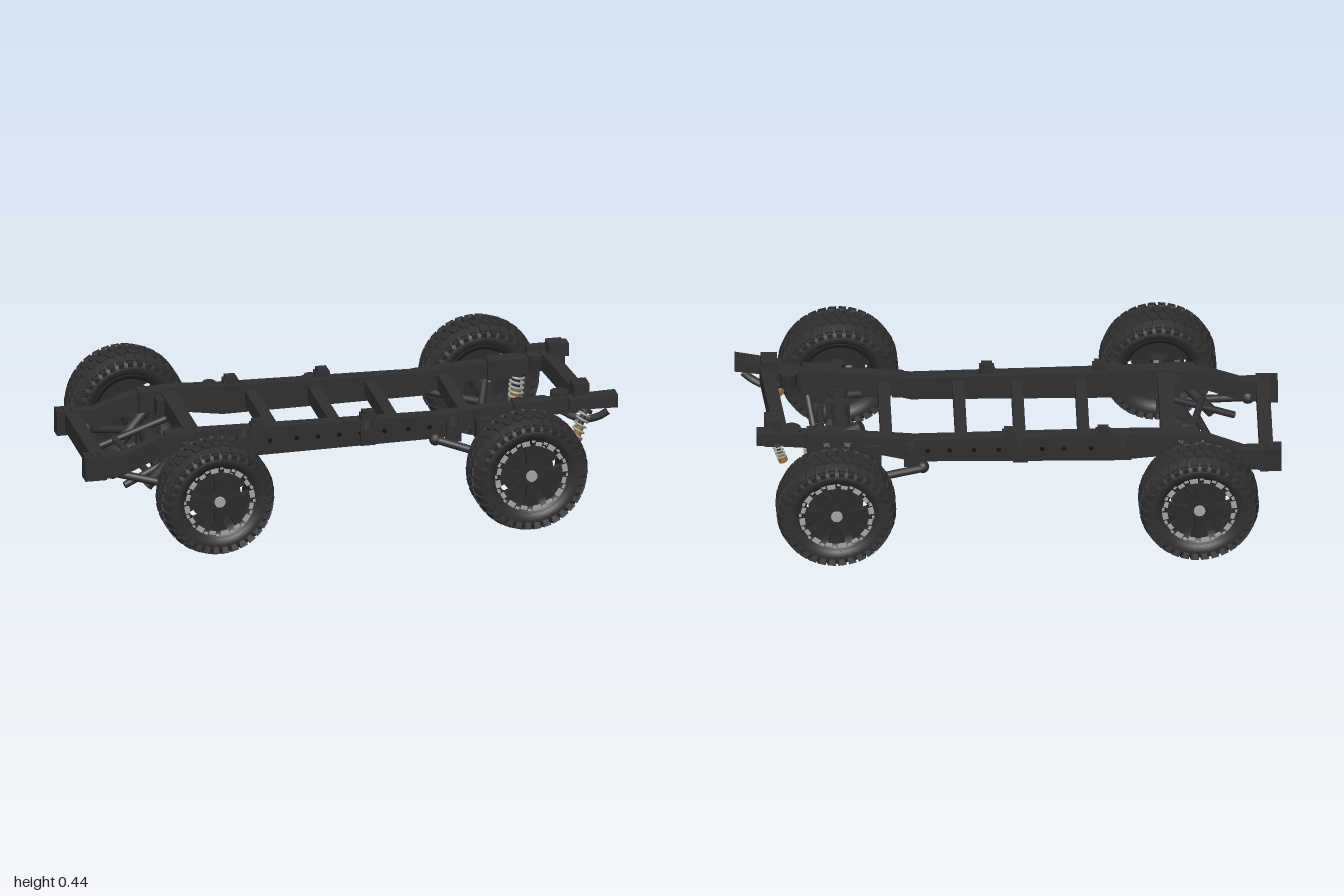
import * as THREE from 'three';
import { mergeGeometries } from 'three/addons/utils/BufferGeometryUtils.js';

const mat = (name, color, side = THREE.FrontSide) => {
  const m = new THREE.MeshStandardMaterial({ color, side });
  m.name = name;
  return m;
};

export function createModel() {
  const model = new THREE.Group();
  model.name = 'truckChassis';
  const rubber = mat('tyre rubber', 0x2f2f2f, THREE.DoubleSide);
  const steel = mat('frame steel', 0x2f2f2f);
  const rimDark = mat('rim black', 0x2c2c2c, THREE.DoubleSide);
  const silver = mat('silver', 0xa6a6a6, THREE.DoubleSide);
  const gold = mat('gold damper', 0x8f6c35);
  const hole = mat('hole black', 0x101010, THREE.DoubleSide);

  const V = (p) => new THREE.Vector3(...p);
  const outline = (pts) => pts.map((p) => new THREE.Vector2(...p));
  const add = (name, geo, material = steel, pos = [0, 0, 0], parent = model) => {
    const m = new THREE.Mesh(geo, material);
    m.name = name;
    m.position.set(...pos);
    parent.add(m);
    return m;
  };
  const box = (name, pos, size, material = steel) => add(name, new THREE.BoxGeometry(...size), material, pos);
  // round bar between two points
  const rod = (name, a, b, r, r2 = r, material = steel) => {
    const d = V(b).sub(V(a));
    const m = add(name, new THREE.CylinderGeometry(r2, r, d.length(), 14), material, V(a).add(V(b)).multiplyScalar(0.5).toArray());
    m.quaternion.setFromUnitVectors(new THREE.Vector3(0, 1, 0), d.normalize());
    return m;
  };
  // flat-sided bar between two points
  const bar = (name, a, b, w, h) => {
    const m = add(name, new THREE.BoxGeometry(w, h, V(a).distanceTo(V(b))), steel, V(a).add(V(b)).multiplyScalar(0.5).toArray());
    m.lookAt(V(b));
    return m;
  };
  // rectangular cross-sections [x, y, z, height, width] joined along x
  const loft = (name, sections) => {
    const pos = [];
    const ring = ([x, y, z, h, w]) => [[x, y - h / 2, z - w / 2], [x, y - h / 2, z + w / 2], [x, y + h / 2, z + w / 2], [x, y + h / 2, z - w / 2]];
    const quad = (a, b, c, d) => pos.push(...a, ...b, ...c, ...a, ...c, ...d);
    const rings = sections.map(ring);
    for (let i = 0; i + 1 < rings.length; i++)
      for (let k = 0; k < 4; k++) {
        const n = (k + 1) % 4;
        quad(rings[i][k], rings[i + 1][k], rings[i + 1][n], rings[i][n]);
      }
    quad(...rings[0]);
    quad(...rings[rings.length - 1].slice().reverse());
    const g = new THREE.BufferGeometry();
    g.setAttribute('position', new THREE.Float32BufferAttribute(pos, 3));
    g.computeVertexNormals();
    return add(name, g);
  };

  // side rails, dropping at the -x end and rising over the +x axle
  loft('frontRail', [[-0.925, 0.265, 0.21, 0.085, 0.048], [-0.86, 0.268, 0.21, 0.08, 0.045], [-0.72, 0.322, 0.205, 0.075, 0.045],
    [-0.58, 0.33, 0.198, 0.09, 0.05], [-0.38, 0.315, 0.195, 0.11, 0.05], [0.35, 0.313, 0.193, 0.09, 0.05],
    [0.5, 0.338, 0.198, 0.07, 0.045], [0.75, 0.355, 0.205, 0.06, 0.04], [0.88, 0.365, 0.225, 0.06, 0.04]]);
  loft('backRail', [[-0.925, 0.265, -0.262, 0.085, 0.048], [-0.86, 0.268, -0.262, 0.08, 0.045], [-0.72, 0.322, -0.255, 0.075, 0.045],
    [-0.58, 0.33, -0.25, 0.09, 0.05], [-0.38, 0.315, -0.238, 0.11, 0.05], [0.35, 0.313, -0.235, 0.09, 0.05],
    [0.5, 0.338, -0.235, 0.07, 0.045], [0.75, 0.355, -0.225, 0.06, 0.04], [0.88, 0.365, -0.225, 0.06, 0.04]]);

  // rail ends with two upright openings
  const endShape = new THREE.Shape(outline([[-1, -0.028], [-0.92, -0.028], [-0.92, 0.028], [-1, 0.028]]));
  for (const [x0, x1] of [[-0.989, -0.968], [-0.956, -0.938]])
    endShape.holes.push(new THREE.Path(outline([[x0, -0.016], [x0, 0.016], [x1, 0.016], [x1, -0.016]])));
  const endGeo = new THREE.ExtrudeGeometry(endShape, { depth: 0.094, bevelEnabled: false }).rotateX(-Math.PI / 2);
  for (const z of [0.21, -0.262]) add('railEnd', endGeo, steel, [0, 0.219, z]);

  // crossmembers
  for (const x of [-0.275, -0.04, 0.175, 0.45]) box('crossmember', [x, 0.315, -0.02], [0.043, 0.06, 0.42]);
  box('axleCrossmember', [-0.585, 0.33, -0.025], [0.055, 0.07, 0.44]);
  box('lowEndCrossmember', [-0.945, 0.272, -0.025], [0.05, 0.07, 0.42]);
  bar('highEndCrossmember', [0.84, 0.365, -0.24], [0.88, 0.365, 0.21], 0.05, 0.07);

  // rail holes
  for (const x of [-0.3, -0.2, -0.12, -0.04, 0.04, 0.13, 0.22, 0.3])
    for (const z of [0.2215, -0.264]) add('railHole', new THREE.CircleGeometry(0.009, 12), hole, [x, 0.315, z]);

  // cab and bed mounts on the outer faces of the rails
  for (const [x, z, y] of [[-0.42, -0.268, 0.335], [-0.4, 0.222, 0.335], [-0.04, -0.266, 0.33], [0.065, 0.22, 0.33], [0.36, -0.26, 0.315], [0.39, 0.22, 0.315]]) {
    box('bodyMount', [x, y - 0.015, z], [0.055, 0.09, 0.035]);
    add('mountBush', new THREE.CylinderGeometry(0.022, 0.026, 0.03, 16), steel, [x, y + 0.022, z]);
  }
  for (const [x, z] of [[-0.345, 0.205], [-0.345, -0.25], [0, -0.25], [0.07, 0.205]]) {
    box('mountTab', [x, 0.36, z], [0.055, 0.05, 0.04]);
    box('mountTabTop', [x, 0.39, z], [0.04, 0.014, 0.035]);
  }

  // bumper brackets at the +x end
  loft('bumperArm', [[0.82, 0.37, 0.235, 0.045, 0.06], [0.92, 0.38, 0.25, 0.045, 0.06], [0.995, 0.385, 0.262, 0.05, 0.06]]);
  box('bumperArmBack', [0.85, 0.385, -0.27], [0.15, 0.045, 0.035]);
  for (const z of [0.203, -0.21]) box('bumperBracket', [0.87, 0.385, z], [0.06, 0.11, 0.068]);
  box('bumperPad', [0.9, 0.39, -0.265], [0.06, 0.05, 0.05]);
  for (const z of [0.17, -0.215]) add('bumpStop', new THREE.CylinderGeometry(0.035, 0.03, 0.06, 16), steel, [0.8, 0.365, z]);
  const hook = new THREE.CatmullRomCurve3([[0.8, 0.33, 0.2], [0.87, 0.3, 0.225], [0.93, 0.315, 0.25], [0.965, 0.34, 0.262]].map(V));
  add('towHook', new THREE.TubeGeometry(hook, 16, 0.014, 8));

  // silver coil spring over a damper with a gold lower body
  const coilover = (a, b, r = 0.022) => {
    const len = V(a).distanceTo(V(b));
    rod('damper', a, b, r * 0.5);
    rod('damperBody', a, V(a).lerp(V(b), 0.5).toArray(), r * 0.75, r * 0.75, gold);
    const pts = [];
    for (let i = 0; i <= 60; i++) {
      const t = i / 60, s = t * Math.PI * 10;
      pts.push(new THREE.Vector3(Math.cos(s) * r, (t - 0.4) * len * 0.8, Math.sin(s) * r));
    }
    const g = new THREE.Group();
    g.name = 'coilover';
    g.position.copy(V(a).add(V(b)).multiplyScalar(0.5));
    g.quaternion.setFromUnitVectors(new THREE.Vector3(0, 1, 0), V(b).sub(V(a)).normalize());
    model.add(g);
    add('spring', new THREE.TubeGeometry(new THREE.CatmullRomCurve3(pts), 120, r * 0.2, 6), silver, [0, 0, 0], g);
    add('springSeat', new THREE.CylinderGeometry(r * 1.2, r * 1.2, 0.012, 16), steel, [0, len * 0.47, 0], g);
    add('springCollar', new THREE.CylinderGeometry(r * 1.1, r * 1.1, 0.014, 16), gold, [0, -len * 0.37, 0], g);
  };
  coilover([0.72, 0.21, -0.21], [0.73, 0.33, -0.21], 0.025);
  coilover([0.83, 0.23, 0.28], [0.88, 0.35, 0.258]);
  coilover([0.83, 0.3, -0.3], [0.86, 0.375, -0.285], 0.016);

  // solid axles with differential, knuckles and arms
  const axle = (xb, xf, dx) => {
    const at = (z) => xb + (xf - xb) * (z + 0.42) / 0.84;
    for (const s of [-1, 1]) {
      rod('axleTube', [dx, 0.21, s * 0.04], [at(s * 0.3), 0.21, s * 0.3], 0.034, 0.028);
      rod('axleStub', [at(s * 0.28), 0.21, s * 0.28], [at(s * 0.42), 0.218, s * 0.42], 0.035, 0.04);
      rod('axleSeal', [at(s * 0.35), 0.215, s * 0.35], [at(s * 0.362), 0.215, s * 0.362], 0.043, 0.043);
      box('knuckle', [at(s * 0.37), 0.21, s * 0.37], [0.07, 0.07, 0.03]);
      box('springPerch', [at(s * 0.22), 0.2, s * 0.22], [0.09, 0.07, 0.035]);
      box('axleClip', [at(s * 0.35), 0.256, s * 0.35], [0.035, 0.009, 0.045], silver);
      for (const o of [-0.04, 0.04])
        bar('upperArm', [at(s * 0.4) + o * 0.6, 0.26, s * 0.4], [at(s * 0.25) + o, 0.345, s * 0.26], 0.022, 0.03);
    }
    const diff = add('differential', new THREE.SphereGeometry(0.056, 20, 14), steel, [dx, 0.2, 0.02]);
    diff.scale.set(0.8, 1, 1.05);
    rod('pinionHousing', [dx, 0.22, 0], [dx - Math.sign(dx) * 0.07, 0.265, -0.01], 0.034, 0.024);
  };
  axle(0.64, 0.61, 0.605);
  axle(-0.69, -0.57, -0.665);

  // links and rods around the +x axle
  rod('tieRod', [0.69, 0.17, -0.33], [0.68, 0.15, 0.31], 0.013);
  rod('trackBar', [0.56, 0.19, -0.1], [0.62, 0.18, 0.3], 0.014);
  rod('trackBarUpper', [0.56, 0.19, -0.1], [0.62, 0.31, -0.26], 0.014);
  rod('steeringArm', [0.74, 0.32, 0.25], [0.7, 0.15, 0.08], 0.014);
  add('steeringBox', new THREE.BoxGeometry(0.1, 0.1, 0.06), steel, [0.7, 0.3, 0.22]).rotation.z = 0.4;
  rod('trailingArm', [0.32, 0.27, -0.31], [0.62, 0.19, -0.29], 0.015);
  rod('trailingArm', [0.32, 0.27, 0.235], [0.6, 0.19, 0.33], 0.015);
  for (const [x, y, z] of [[0.32, 0.27, -0.3], [0.32, 0.27, 0.23], [0.56, 0.19, -0.1]]) add('linkBush', new THREE.SphereGeometry(0.024, 12, 8), steel, [x, y, z]);
  for (const z of [-0.225, 0.21]) {
    box('springTower', [0.68, 0.35, z], [0.13, 0.075, 0.065]);
    box('armBracket', [0.5, 0.3, z * 1.1], [0.06, 0.08, 0.05]);
  }

  // links and plates around the -x axle
  for (const s of [-1, 1]) {
    const z = s > 0 ? 0.2 : -0.245;
    rod('lowerLink', [-0.9, 0.235, z], [-0.66, 0.185, z + s * 0.065], 0.015);
    rod('innerLink', [-0.58, 0.28, z - s * 0.06], [-0.84, 0.17, z - s * 0.02], 0.013);
    rod('shock', [-0.76, 0.17, z], [-0.62, 0.33, z + s * 0.02], 0.022, 0.018);
    box('springTower', [-0.64, 0.33, z], [0.11, 0.08, 0.065]);
    add('linkBush', new THREE.SphereGeometry(0.026, 12, 8), steel, [-0.89, 0.235, z]);
    box('gusset', [-0.6, 0.325, z - s * 0.055], [0.08, 0.06, 0.06]);
  }
  rod('trackBar', [-0.79, 0.2, -0.2], [-0.7, 0.16, 0.2], 0.013);
  rod('crossLink', [-0.64, 0.22, -0.2], [-0.72, 0.25, 0.17], 0.013);
  rod('canister', [-0.49, 0.25, 0.265], [-0.49, 0.31, 0.265], 0.034);
  bar('canisterArm', [-0.56, 0.28, 0.235], [-0.49, 0.28, 0.265], 0.02, 0.02);

  // tyre with staggered tread lugs, axis along z
  const profile = [[0.142, -0.068], [0.148, -0.082], [0.17, -0.089], [0.19, -0.086], [0.203, -0.074], [0.211, -0.04],
    [0.212, 0], [0.211, 0.04], [0.203, 0.074], [0.19, 0.086], [0.17, 0.089], [0.148, 0.082], [0.142, 0.068]];
  const tyreGeo = new THREE.LatheGeometry(outline(profile), 56).rotateX(Math.PI / 2);
  const lugs = [];
  const N = 34;
  for (let i = 0; i < N; i++)
    for (const [r, z, w, l, d, yaw, roll, off] of [[0.211, 0.023, 0.04, 0.028, 0.018, 0.25, 0, 0], [0.211, -0.023, 0.04, 0.028, 0.018, 0.25, 0, 0.5],
      [0.203, 0.066, 0.036, 0.029, 0.018, -0.1, 0.3, 0.5], [0.203, -0.066, 0.036, 0.029, 0.018, -0.1, -0.3, 0],
      [0.188, 0.084, 0.013, 0.02, 0.026, 0, 0.3, 0.5], [0.188, -0.084, 0.013, 0.02, 0.026, 0, -0.3, 0]])
      lugs.push(new THREE.BoxGeometry(l, d, w).rotateY(yaw).rotateX(roll).translate(0, r, z).rotateZ((i + off) / N * Math.PI * 2));
  const lugGeo = mergeGeometries(lugs);
  const rimGeo = new THREE.LatheGeometry(outline([[0.143, -0.08], [0.125, -0.07], [0.118, 0.03], [0.12, 0.066], [0.142, 0.069], [0.149, 0.083]]), 48).rotateX(Math.PI / 2);
  const spokeShape = new THREE.Shape(outline([[-0.016, 0.02], [0.016, 0.02], [0.017, 0.08], [0.033, 0.122], [-0.033, 0.122], [-0.017, 0.08]]));
  const spokeGeo = new THREE.ExtrudeGeometry(spokeShape, { depth: 0.022, bevelEnabled: false });
  const disc = (r, d) => new THREE.CylinderGeometry(r, r, d, 28).rotateX(Math.PI / 2);

  const wheel = (name, x, z, r, yaw) => {
    const g = new THREE.Group();
    g.name = name;
    g.position.set(x, 0.222, z);
    g.rotation.y = yaw + (z < 0 ? Math.PI : 0);
    g.scale.set(r / 0.22, r / 0.22, 1);
    model.add(g);
    const part = (n, geo, m, dz = 0) => add(n, geo, m, [0, 0, dz], g);
    part('tyre', tyreGeo, rubber);
    part('treadLugs', lugGeo, rubber);
    part('rim', rimGeo, rimDark);
    for (let i = 0; i < 8; i++) {
      const a = i * Math.PI / 4;
      part('spoke', spokeGeo, rimDark, 0.045).rotation.z = a;
      // broken bright ring: wide arcs with small gaps
      for (const [inner, outer, o, w] of [[0.118, 0.138, 0.04, 0.24], [0.127, 0.138, 0.31, 0.12], [0.118, 0.134, 0.46, 0.2], [0.13, 0.139, 0.68, 0.1]])
        part('rimAccent', new THREE.RingGeometry(inner, outer, 5, 1, a + o, w), silver, 0.0715);
    }
    part('hub', disc(0.038, 0.03), rimDark, 0.056);
    part('hubCap', disc(0.021, 0.008), silver, 0.075);
    part('brakeDisc', disc(0.1, 0.02), rimDark, -0.01);
    part('hubCarrier', disc(0.045, 0.08), steel, -0.035);
  };
  wheel('frontLowEndWheel', -0.567, 0.478, 0.214, 0.025);
  wheel('backLowEndWheel', -0.688, -0.485, 0.22, 0.025);
  wheel('frontHighEndWheel', 0.608, 0.478, 0.22, 0.025);
  wheel('backHighEndWheel', 0.645, -0.485, 0.22, 0.015);

  return model;
}
